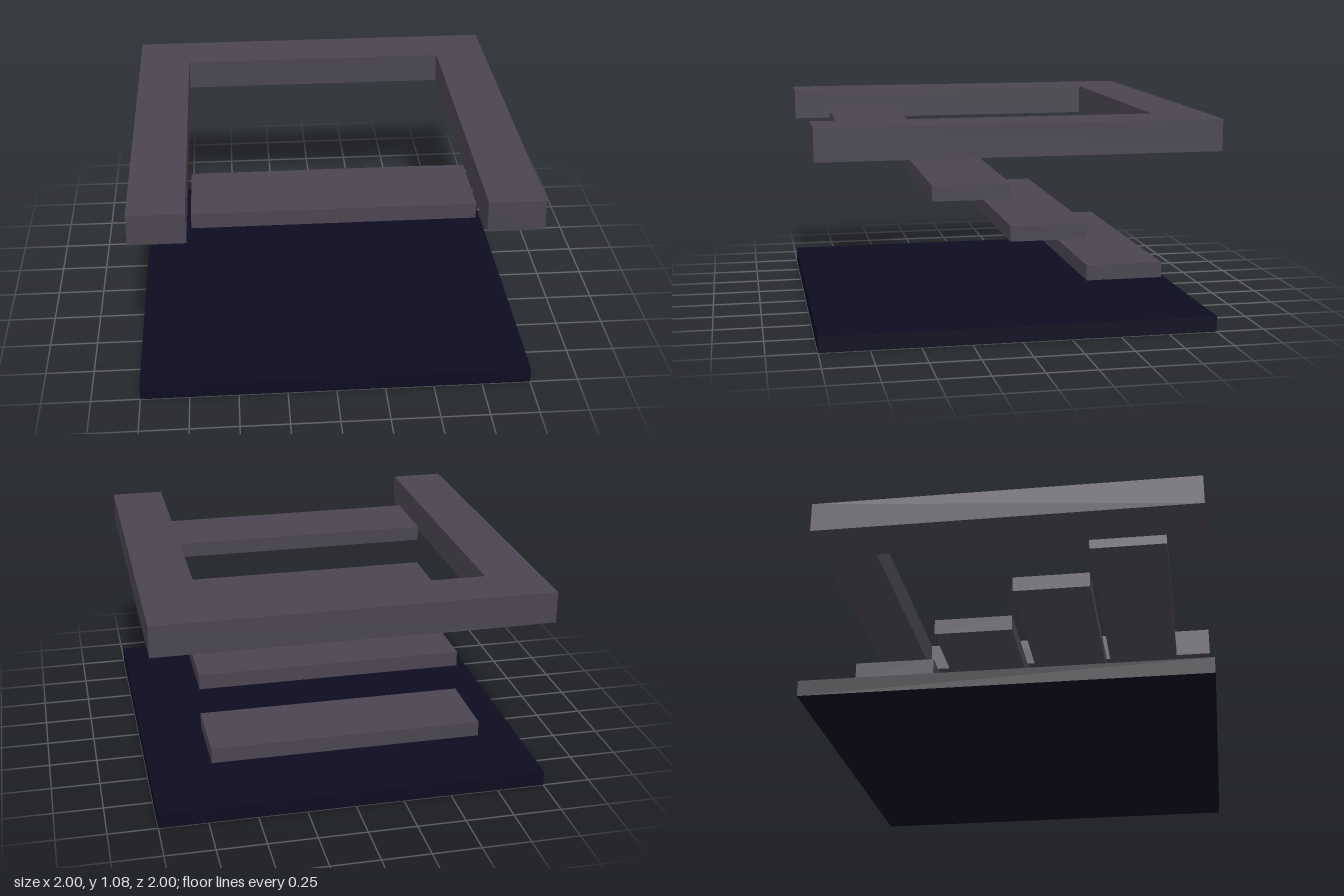
import * as THREE from 'three';

export function createModel() {
  const group = new THREE.Group();
  const stone = new THREE.MeshStandardMaterial({ color: 0x4a4550 });
  stone.name = 'grey stone';
  const navy = new THREE.MeshStandardMaterial({ color: 0x0c0c20 });
  navy.name = 'dark navy';

  // Box given by its size, bottom height and centre
  function slab(name, material, w, h, d, x, bottom, z) {
    const mesh = new THREE.Mesh(new THREE.BoxGeometry(w, h, d), material);
    mesh.name = name;
    mesh.position.set(x, bottom + h / 2, z);
    group.add(mesh);
  }

  // Lower floor
  slab('lowerFloor', navy, 2, 0.08, 2, 0, 0, 0);

  // Floating treads, rising towards the front
  for (let i = 0; i < 4; i++) {
    slab(`tread${i + 1}`, stone, 1.4, 0.08, 0.4, 0, 0.22 * (i + 1), -0.6 + 0.4 * i);
  }

  // Upper floor: a U around the stairwell, open at the front
  const outline = new THREE.Shape([
    [-1, -1], [-0.72, -1], [-0.72, 0.72], [0.72, 0.72],
    [0.72, -1], [1, -1], [1, 1], [-1, 1],
  ].map(([x, y]) => new THREE.Vector2(x, y)));
  const geometry = new THREE.ExtrudeGeometry(outline, { depth: 0.16, bevelEnabled: false });
  geometry.rotateX(-Math.PI / 2);
  const upperFloor = new THREE.Mesh(geometry, stone);
  upperFloor.name = 'upperFloor';
  upperFloor.position.y = 0.92;
  group.add(upperFloor);

  return group;
}
